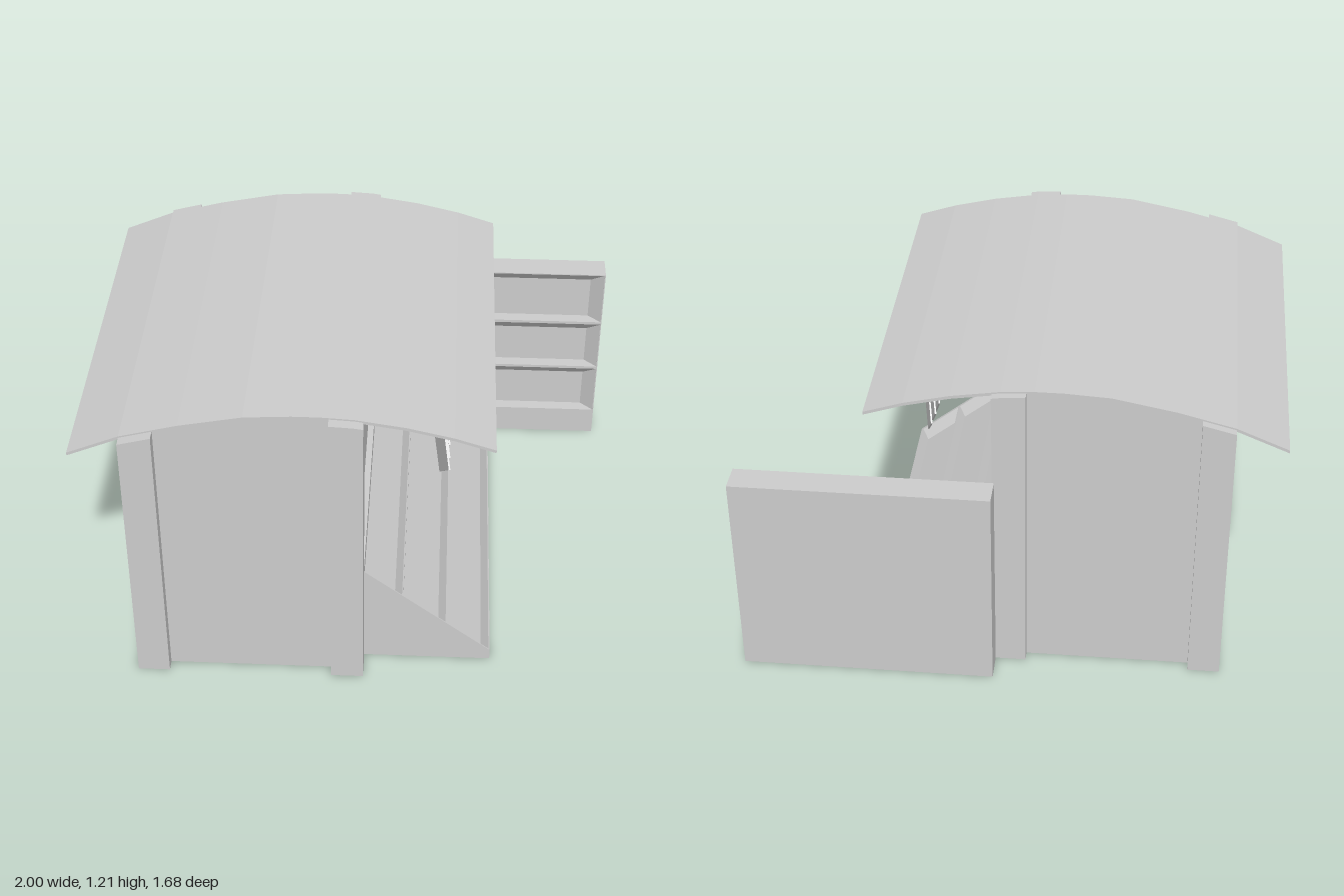
import * as THREE from 'three';

const mat = new THREE.MeshStandardMaterial({ color: 0xcccccc, flatShading: true, side: THREE.DoubleSide });

// Roof underside curve, x to y
const ROOF = [[-1, 1.01], [-0.81, 1.09], [-0.6, 1.145], [-0.37, 1.19], [-0.2, 1.2], [-0.1, 1.2],
  [0.02, 1.193], [0.2, 1.165], [0.37, 1.125], [0.515, 1.078]];
function roofY(x) {
  const i = Math.max(1, ROOF.findIndex((p) => p[0] >= x));
  const [a, b] = [ROOF[i - 1], ROOF[i]];
  return a[1] + ((x - a[0]) / (b[0] - a[0])) * (b[1] - a[1]);
}

function add(parent, name, geometry) {
  const m = new THREE.Mesh(geometry, mat);
  m.name = name;
  parent.add(m);
  return m;
}

// Box given by its min and max corners
function box(parent, name, x0, x1, y0, y1, z0, z1) {
  const m = add(parent, name, new THREE.BoxGeometry(x1 - x0, y1 - y0, z1 - z0));
  m.position.set((x0 + x1) / 2, (y0 + y1) / 2, (z0 + z1) / 2);
  return m;
}

// Profile in x and y, extruded from z0 to z1
function slab(parent, name, pts, z0, z1) {
  const shape = new THREE.Shape(pts.map((p) => new THREE.Vector2(p[0], p[1])));
  const g = new THREE.ExtrudeGeometry(shape, { depth: z1 - z0, bevelEnabled: false });
  g.translate(0, 0, z0);
  return add(parent, name, g);
}

// Upright sheet from x0 to x1 whose top follows the roof
function underRoof(parent, name, x0, x1, z0, z1, lift = 0) {
  const top = ROOF.filter((p) => p[0] > x0 && p[0] < x1).map((p) => [p[0], p[1] + lift]);
  const pts = [[x0, 0], [x1, 0], [x1, roofY(x1) + lift], ...top.reverse(), [x0, roofY(x0) + lift]];
  return slab(parent, name, pts, z0, z1);
}

// Row of trays sunk into a panel; place(u, v, w) maps across, down and depth to space
function trays(parent, name, place, u0, u1, rows, inset, depth, ridge) {
  const pos = [];
  const quad = (...c) => [0, 1, 2, 0, 2, 3].forEach((i) => pos.push(...place(...c[i])));
  for (let r = 0; r < rows.length - 1; r++) {
    const v0 = rows[r], v1 = rows[r + 1] - ridge;
    const o = [[u0, v0, 0], [u1, v0, 0], [u1, v1, 0], [u0, v1, 0]];
    const n = [[u0 + inset, v0 + inset, depth], [u1 - inset, v0 + inset, depth],
      [u1 - inset, v1, depth], [u0 + inset, v1, depth]];
    quad(n[3], n[2], n[1], n[0]);
    for (let i = 0; i < 4; i++) {
      const j = (i + 1) % 4;
      quad(o[j], o[i], n[i], n[j]);
    }
    quad([u0, v1 + ridge, 0], [u1, v1 + ridge, 0], o[2], o[3]);
  }
  const g = new THREE.BufferGeometry();
  g.setAttribute('position', new THREE.Float32BufferAttribute(pos, 3));
  g.computeVertexNormals();
  return add(parent, name, g);
}

function group(parent, name) {
  const g = new THREE.Group();
  g.name = name;
  parent.add(g);
  return g;
}

export function createModel() {
  const model = new THREE.Group();
  model.name = 'marketStall';

  // Curved roof
  const upper = ROOF.map(([x, y]) => [x, y + 0.012]).reverse();
  slab(model, 'roof', [...ROOF, ...upper], -0.7, 0.8);

  // Walls, open at the bottom
  const body = group(model, 'body');
  underRoof(body, 'frontWall', -0.8, 0.045, 0.78, 0.795);
  underRoof(body, 'rearWall', -0.8, 0.045, -0.69, -0.675);
  box(body, 'endWall', -0.805, -0.79, 0, roofY(-0.8), -0.69, 0.795);

  // Serving wall with a hatch; shape drawn in -z and y, then turned to face +x
  const wall = new THREE.Shape([[-0.795, 0], [0.69, 0], [0.69, 1.19], [-0.795, 1.19]].map((p) => new THREE.Vector2(...p)));
  wall.holes.push(new THREE.Path([[-0.75, 0.44], [-0.75, 0.875], [0.65, 0.875], [0.65, 0.44]].map((p) => new THREE.Vector2(...p))));
  const serving = add(body, 'servingWall', new THREE.ExtrudeGeometry(wall, { depth: 0.015, bevelEnabled: false }));
  serving.rotation.y = Math.PI / 2;
  serving.position.x = 0.035;

  // Alcove behind the hatch
  const alcove = group(model, 'alcove');
  box(alcove, 'counter', -0.36, 0.045, 0.43, 0.44, -0.65, 0.75);
  box(alcove, 'ceiling', -0.36, 0.045, 0.875, 0.885, -0.65, 0.75);
  box(alcove, 'back', -0.37, -0.36, 0.43, 0.885, -0.65, 0.75);
  box(alcove, 'frontCheek', -0.36, 0.045, 0.44, 0.875, 0.75, 0.76);
  box(alcove, 'rearCheek', -0.36, 0.045, 0.44, 0.875, -0.66, -0.65);

  // Corner posts
  for (const [x0, x1] of [[-0.81, -0.69], [-0.07, 0.052]]) {
    underRoof(model, 'frontPost', x0, x1, 0.75, 0.84, 0.006);
    underRoof(model, 'rearPost', x0, x1, -0.73, -0.65, 0.006);
  }

  // Sloping display rack
  const rack = group(model, 'displayRack');
  const side = [[0.05, 0], [0.535, 0], [0.535, 0.045], [0.05, 0.43]];
  slab(rack, 'rackFrontSide', side, 0.717, 0.721);
  slab(rack, 'rackRearSide', side, -0.624, -0.62);
  box(rack, 'rackBase', 0.05, 0.535, 0, 0.006, -0.62, 0.72);
  box(rack, 'rackLip', 0.529, 0.535, 0, 0.045, -0.62, 0.72);
  trays(rack, 'rackTrays', (u, v, w) => [0.05 + v * 0.783 - w * 0.622, 0.43 - v * 0.622 - w * 0.783, u],
    -0.62, 0.72, [0, 0.19, 0.404, 0.619], 0.035, 0.045, 0.006);

  // Open shutter standing behind, with trays facing the front
  const shutter = group(model, 'shutter');
  box(shutter, 'shutterBack', 0.045, 1, 0, 0.83, -0.84, -0.785);
  box(shutter, 'shutterFoot', 0.045, 1, 0, 0.108, -0.79, -0.73);
  box(shutter, 'shutterTop', 0.045, 1, 0.826, 0.83, -0.79, -0.73);
  box(shutter, 'shutterLeftSide', 0.996, 1, 0.1, 0.83, -0.79, -0.73);
  box(shutter, 'shutterRightSide', 0.045, 0.049, 0.1, 0.83, -0.79, -0.73);
  trays(shutter, 'shutterTrays', (u, v, w) => [u, 0.828 - v, -0.73 - w],
    0.048, 0.997, [0, 0.25, 0.484, 0.72], 0.054, 0.05, 0.012);

  // Sagging cord with square flags
  const bunting = group(model, 'bunting');
  const sag = (z) => 0.99 + 0.09 * ((z - 0.08) / 0.52) ** 2;
  const cord = [];
  for (let i = 0; i <= 12; i++) {
    const z = 0.71 - (i / 12) * 1.26;
    cord.push(new THREE.Vector3(0.325 + (sag(z) - 0.99) * 0.12, sag(z), z));
  }
  add(bunting, 'cord', new THREE.TubeGeometry(new THREE.CatmullRomCurve3(cord), 32, 0.005, 5));
  for (let i = 0; i < 11; i++) {
    const z = 0.6 - i * 0.1;
    const flag = add(bunting, 'flag', new THREE.BoxGeometry(0.006, 0.178, 0.178));
    flag.rotation.order = 'YXZ';
    flag.rotation.set(Math.PI / 4 + (z - 0.1) * 0.16, 0.24, 0);
    flag.position.set(0.325, 0.868 + 0.075 * ((z - 0.1) / 0.5) ** 2, z);
  }
  return model;
}
